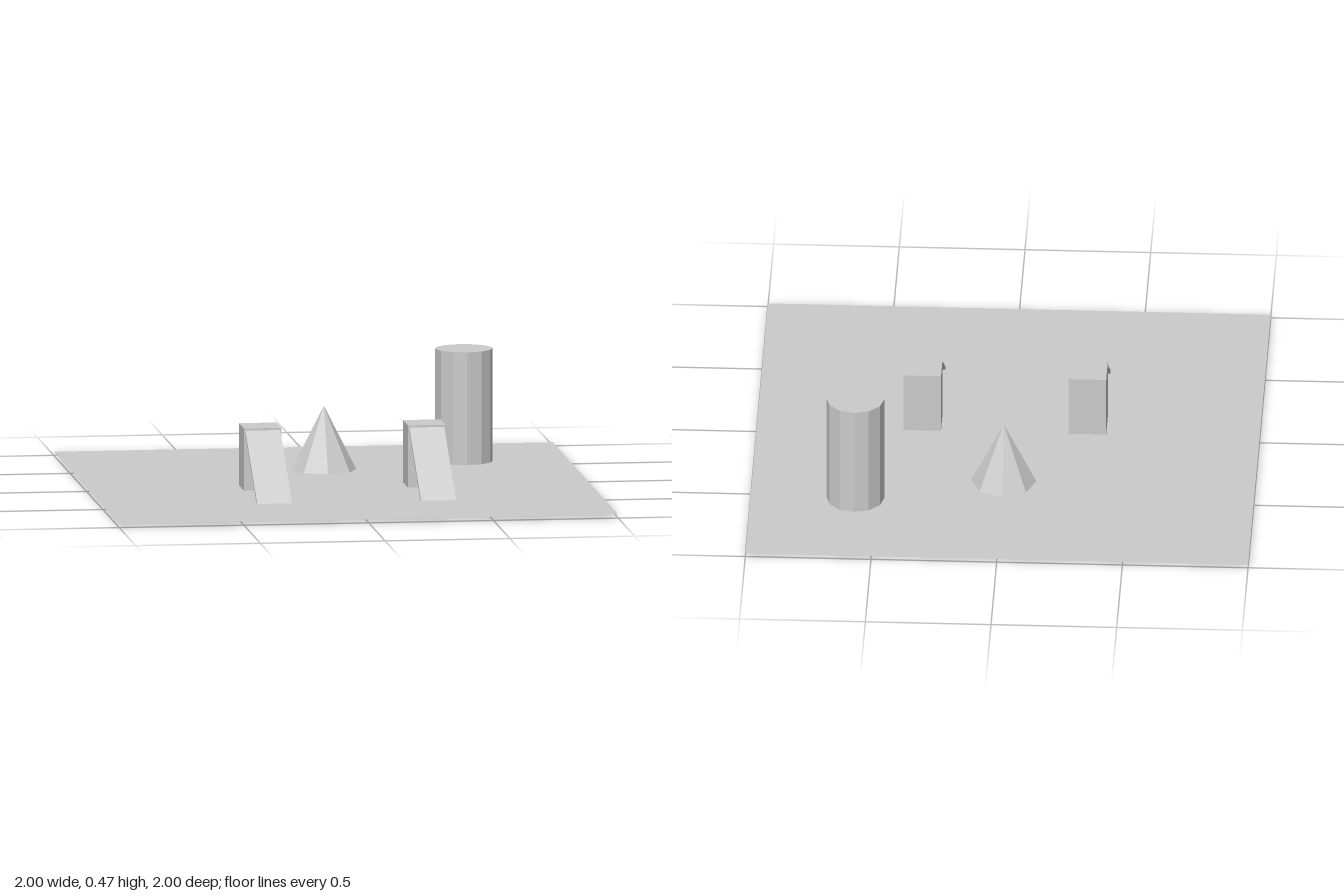
import * as THREE from 'three';

const FLOOR = 0.015;

export function createModel() {
  const model = new THREE.Group();
  const material = new THREE.MeshStandardMaterial({ color: 0xcccccc, flatShading: true });
  const sheet = new THREE.MeshStandardMaterial({ color: 0xcccccc, flatShading: true, side: THREE.DoubleSide });

  const add = (name, geometry, x, y, z, mat = material) => {
    const mesh = new THREE.Mesh(geometry, mat);
    mesh.name = name;
    mesh.position.set(x, y, z);
    model.add(mesh);
    return mesh;
  };

  // thin square ground sheet
  add('groundSheet', new THREE.PlaneGeometry(2, 2).rotateX(-Math.PI / 2), 0, FLOOR, 0, sheet);

  // twelve-sided tower and eight-sided cone
  add('tower', new THREE.CylinderGeometry(0.115, 0.115, 0.453, 12), 0.583, FLOOR + 0.2265, -0.535);
  add('cone', new THREE.ConeGeometry(0.13, 0.258, 8), 0, FLOOR + 0.129, -0.373);

  // two blocks, each with a thin ramp whose foot dips through the sheet
  for (const [side, x] of [['right', -0.315], ['left', 0.342]]) {
    add(side + 'Block', new THREE.BoxGeometry(0.15, 0.25, 0.15), x, FLOOR + 0.125, 0.088);
    const ramp = add(side + 'Ramp', new THREE.BoxGeometry(0.14, 0.013, 0.441), x, 0.1286, 0.345);
    ramp.rotation.x = Math.atan2(0.246, 0.367);
  }

  return model;
}
